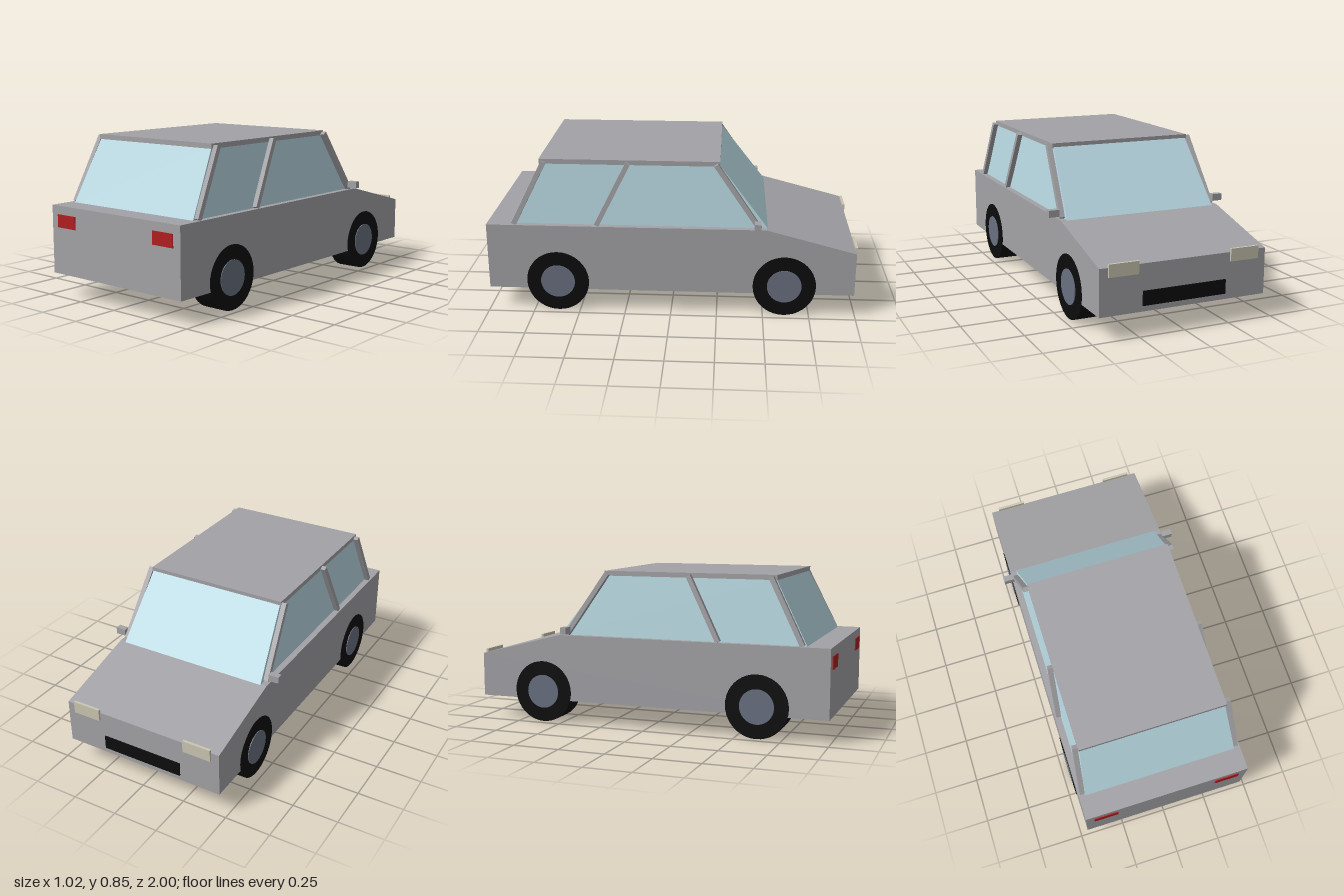
import * as THREE from 'three';

const material = (name, color) => {
  const m = new THREE.MeshStandardMaterial({ color });
  m.name = name;
  return m;
};

export function createModel() {
  const car = new THREE.Group();
  car.name = 'car';
  const paint = material('grey paint', 0xa3a3a7);
  const glass = material('pale blue glass', 0xb9d9e2);
  const rubber = material('black rubber', 0x0c0c0c);
  const steel = material('blue grey steel', 0x697080);
  const red = material('red lamp', 0xb01e20);
  const cream = material('cream lamp', 0xcbc6b2);

  const add = (name, geometry, mat, x = 0, y = 0, z = 0) => {
    const mesh = new THREE.Mesh(geometry, mat);
    mesh.name = name;
    mesh.position.set(x, y, z);
    car.add(mesh);
    return mesh;
  };
  // Box given by its limits on each axis
  const block = (name, mat, [x0, x1], [y0, y1], [z0, z1]) =>
    add(name, new THREE.BoxGeometry(x1 - x0, y1 - y0, z1 - z0), mat,
      (x0 + x1) / 2, (y0 + y1) / 2, (z0 + z1) / 2);

  // Lower body: side profile (z, y) with a sloping bonnet, nose towards -z
  const profile = new THREE.Shape([
    [0.995, 0.125], [0.995, 0.492], [-0.51, 0.492], [-0.99, 0.367], [-0.99, 0.125],
  ].map(([z, y]) => new THREE.Vector2(z, y)));
  const bodyGeo = new THREE.ExtrudeGeometry(profile, { depth: 0.92, bevelEnabled: false });
  bodyGeo.rotateY(-Math.PI / 2).translate(0.46, 0, 0);
  add('body', bodyGeo, paint);

  // Tapered glass cabin
  const cabin = new THREE.BoxGeometry(1, 1, 1);
  const p = cabin.attributes.position;
  for (let i = 0; i < p.count; i++) {
    const top = p.getY(i) > 0;
    const back = p.getZ(i) > 0;
    p.setXYZ(i,
      Math.sign(p.getX(i)) * (top ? 0.395 : 0.427),
      top ? 0.83 : 0.485,
      back ? (top ? 0.695 : 0.872) : (top ? -0.255 : -0.52));
  }
  cabin.computeVertexNormals();
  add('windows', cabin, glass);
  block('roof', paint, [-0.402, 0.402], [0.822, 0.848], [-0.257, 0.703]);

  // Pillars: lower z and upper z of each
  const pillars = { frontPillar: [-0.472, -0.236], middlePillar: [0.4, 0.228], rearPillar: [0.848, 0.676] };
  const up = new THREE.Vector3(0, 1, 0);
  for (const side of [-1, 1]) {
    const sideName = side > 0 ? 'Left' : 'Right';
    for (const [name, [z0, z1]] of Object.entries(pillars)) {
      const foot = new THREE.Vector3(side * 0.438, 0.494, z0);
      const head = new THREE.Vector3(side * 0.415, 0.835, z1);
      const along = head.clone().sub(foot);
      const mid = foot.clone().add(head).multiplyScalar(0.5);
      const pillar = add(name + sideName, new THREE.BoxGeometry(0.027, along.length(), 0.026),
        paint, mid.x, mid.y, mid.z);
      pillar.quaternion.setFromUnitVectors(up, along.normalize());
    }

    // Wheels with hub discs on both faces
    for (const [end, z] of [['front', -0.613], ['rear', 0.617]]) {
      const tyre = new THREE.CylinderGeometry(0.17, 0.17, 0.128, 40).rotateZ(Math.PI / 2);
      const hub = new THREE.CylinderGeometry(0.093, 0.093, 0.136, 40).rotateZ(Math.PI / 2);
      add(end + 'Tyre' + sideName, tyre, rubber, side * 0.398, 0.17, z);
      add(end + 'Hub' + sideName, hub, steel, side * 0.398, 0.17, z);
    }

    // Mirrors and lamps
    const span = (a, b) => (side > 0 ? [a, b] : [-b, -a]);
    block('mirror' + sideName, paint, span(0.453, 0.51), [0.504, 0.541], [-0.478, -0.444]);
    block('tailLight' + sideName, red, span(0.28, 0.414), [0.377, 0.446], [0.985, 1]);
    block('headlight' + sideName, cream, span(0.255, 0.414), [0.32, 0.386], [-1, -0.986]);
  }

  block('grille', rubber, [-0.23, 0.23], [0.155, 0.23], [-0.997, -0.988]);
  return car;
}
